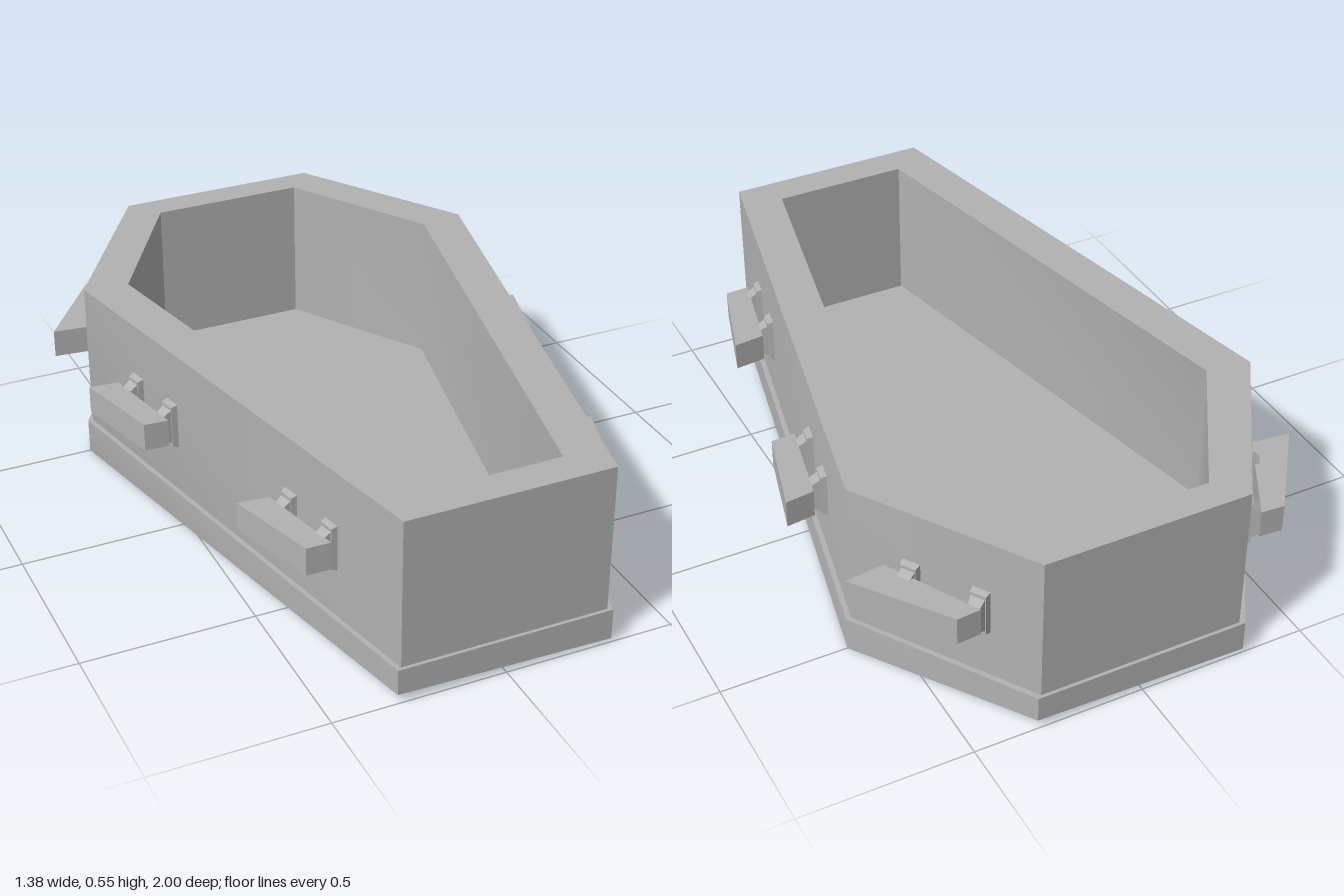
import * as THREE from 'three';
import { toCreasedNormals } from 'three/addons/utils/BufferGeometryUtils.js';

const stone = new THREE.MeshStandardMaterial({ color: 0xb2b2b2 });
stone.name = 'plain grey';

// Six-sided outline, given foot, shoulder and head half-widths with their z
const outline = (foot, shoulder, head) => [
  [foot[0], foot[1]], [shoulder[0], shoulder[1]], [head[0], head[1]],
  [-head[0], head[1]], [-shoulder[0], shoulder[1]], [-foot[0], foot[1]],
];
const toPoints = (pts) => pts.map(([x, z]) => new THREE.Vector2(x, -z));

// Upright prism over an x/z outline, with an optional opening
function prism(pts, y0, y1, hole) {
  const shape = new THREE.Shape(toPoints(pts));
  if (hole) shape.holes.push(new THREE.Path(toPoints(hole)));
  const geo = new THREE.ExtrudeGeometry(shape, { depth: y1 - y0, bevelEnabled: false });
  return geo.rotateX(-Math.PI / 2).translate(0, y0, 0);
}

function addMesh(parent, name, geo) {
  const mesh = new THREE.Mesh(geo, stone);
  mesh.name = name;
  parent.add(mesh);
  return mesh;
}

// Half-width of the body wall at a given z, and its slope dx/dz
const wallSlope = (z) => (z < -0.5 ? 0.315 / 0.49 : -0.315 / 1.49);
const wallX = (z) => 0.615 + wallSlope(z) * (z + 0.5);

// Block along +z whose far end is scaled down
function taperedBlock(w, h, d, sx, sy) {
  const geo = new THREE.BoxGeometry(w, h, d).translate(0, 0, d / 2).toNonIndexed();
  const p = geo.attributes.position;
  for (let i = 0; i < p.count; i++) {
    if (p.getZ(i) > d / 2) p.setXY(i, p.getX(i) * sx, p.getY(i) * sy);
  }
  geo.computeVertexNormals();
  return geo;
}

// Bar corners: inner back, outer back, outer front, inner front
const bars = [
  [[0.42, -0.88], [0.49, -0.885], [0.68, -0.625], [0.565, -0.612]],
  [[0.605, -0.255], [0.69, -0.265], [0.62, 0], [0.55, 0.005]],
  [[0.445, 0.485], [0.535, 0.475], [0.455, 0.745], [0.385, 0.747]],
];

function makeHandle(corners, side) {
  const handle = new THREE.Group();
  handle.name = 'handle';
  addMesh(handle, 'handleBar', prism(corners.map(([x, z]) => [x * side, z]), 0.277, 0.36));
  // Two flared brackets fix each bar to the wall
  const front = corners[3][1];
  for (const offset of [0.05, 0.225]) {
    const z = front - offset;
    const bracket = new THREE.Group();
    bracket.name = 'bracket';
    addMesh(bracket, 'bracketPlate', taperedBlock(0.055, 0.14, 0.022, 0.85, 0.9));
    const arm = addMesh(bracket, 'bracketArm', taperedBlock(0.042, 0.115, 0.04, 0.8, 0.55));
    arm.position.z = 0.015;
    bracket.position.set(side * (wallX(z) - 0.004), 0.32, z);
    bracket.rotation.y = side * (Math.PI / 2 + Math.atan(wallSlope(z)));
    handle.add(bracket);
  }
  return handle;
}

export function createModel() {
  const model = new THREE.Group();
  model.name = 'openCasket';

  // Plinth, with an unevenly worn underside
  const base = prism(outline([0.315, 1], [0.63, -0.5], [0.315, -1]), 0, 0.105);
  const p = base.attributes.position;
  for (let i = 0; i < p.count; i++) {
    if (p.getY(i) < 0.05 && Math.abs(p.getZ(i)) > 0.9) {
      p.setY(i, p.getX(i) * p.getZ(i) < 0 ? 0.028 : 0.012);
    }
  }
  addMesh(model, 'base', toCreasedNormals(base, 0.87));

  // Hollow walls, smooth round the shoulders
  const body = prism(
    outline([0.302, 0.99], [0.615, -0.5], [0.302, -0.99]), 0.1, 0.547,
    outline([0.2, 0.89], [0.485, -0.48], [0.228, -0.9]),
  );
  addMesh(model, 'walls', toCreasedNormals(body, 0.87));

  // Three handles on each side
  for (const side of [1, -1]) {
    for (const corners of bars) model.add(makeHandle(corners, side));
  }
  return model;
}
